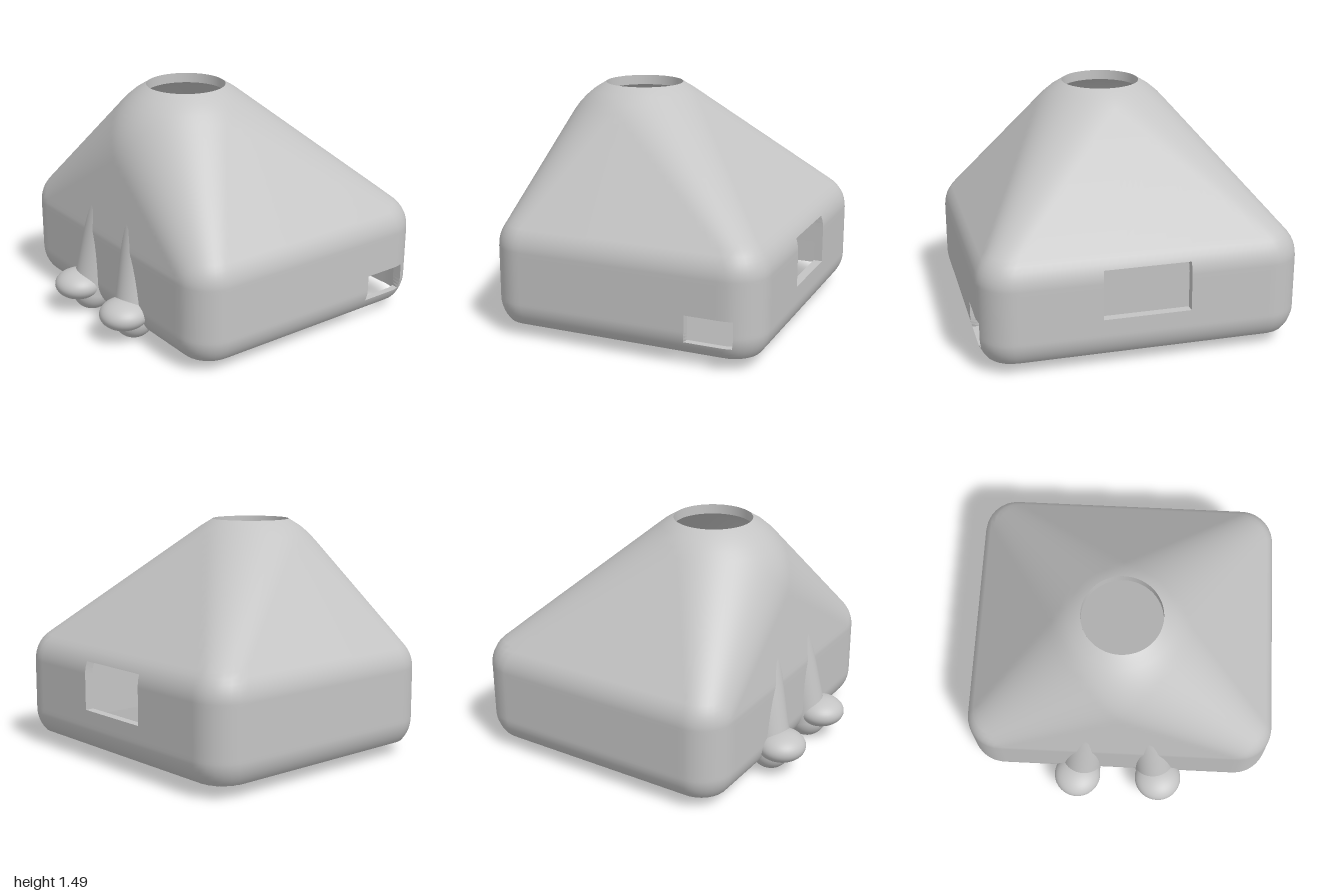
import * as THREE from 'three';

const WALL = 0.055, AXIS_Z = 0.16, BORE = 0.25;
const lerp = (a, b, t) => a + (b - a) * t;

// Rounded box that blends (k = 0..1) into the large ball at the peak
function blendDistance(x, y, z, k) {
  const qx = Math.abs(x) - 0.78 * (1 - k);
  const qy = Math.abs(y - lerp(0.395, 1.0, k)) - 0.165 * (1 - k);
  const qz = Math.abs(z - lerp(-0.105, AXIS_Z, k)) - 0.665 * (1 - k);
  const out = Math.hypot(Math.max(qx, 0), Math.max(qy, 0), Math.max(qz, 0));
  return out + Math.min(Math.max(qx, qy, qz), 0) - lerp(0.22, 0.55, k);
}

// Distance to the housing: the smallest blend distance
function distance(x, y, z) {
  let lo = 0, hi = 1;
  for (let i = 0; i < 20; i++) {
    const a = lerp(lo, hi, 0.4), b = lerp(lo, hi, 0.6);
    if (blendDistance(x, y, z, a) < blendDistance(x, y, z, b)) hi = b; else lo = a;
  }
  return Math.min(blendDistance(x, y, z, (lo + hi) / 2), blendDistance(x, y, z, 0), blendDistance(x, y, z, 1));
}

// Evenly subdivides the spans between break values
function spread(breaks, counts) {
  const list = [];
  counts.forEach((n, s) => {
    for (let i = 0; i < n; i++) list.push(lerp(breaks[s], breaks[s + 1], i / n));
  });
  return list;
}

const COLS = [10, 20, 6, 156], ROWS = [5, 8, 12, 12, 10];
const colStart = [0, 10, 30, 36], rowStart = [0, 5, 13, 25];
// Openings as grid ranges [col from, col to, row from, row to]
const WINDOWS = {
  backWindow: [colStart[0], colStart[1], rowStart[2], rowStart[3]],
  sideWindow: [colStart[2], colStart[3], rowStart[1], rowStart[2]],
};

// One skin of the housing; t is its depth below the outer surface
function makeSkin(t) {
  const back = -0.985 + t - AXIS_Z, inner = t > 0;
  const a0 = Math.atan2(back, -0.27);
  const angles = spread([a0, Math.atan2(back, 0.27), Math.atan2(-0.84 - AXIS_Z, 0.988 - t),
    Math.atan2(-0.54 - AXIS_Z, 1 - t), a0 + Math.PI * 2], COLS);
  const top = 1 + Math.sqrt((0.55 - t) ** 2 - BORE ** 2);
  const heights = [...spread([0.085, 0.16, 0.33, 0.64, 1.0, top], ROWS), top];
  const n = angles.length, pos = [], nor = [], index = [];
  for (const y of heights) {
    // The inside runs straight down to a thin lower edge
    const sy = inner ? Math.max(y, 0.23) : y;
    for (const a of angles) {
      const c = Math.cos(a), s = Math.sin(a);
      let lo = 0, hi = 2;
      for (let i = 0; i < 20; i++) {
        const m = (lo + hi) / 2;
        if (distance(m * c, sy, AXIS_Z + m * s) + t < 0) lo = m; else hi = m;
      }
      const x = lo * c, z = AXIS_Z + lo * s, e = 0.002;
      pos.push(x, y, z);
      const g = new THREE.Vector3(
        distance(x + e, sy, z) - distance(x - e, sy, z),
        distance(x, sy + e, z) - distance(x, sy - e, z),
        distance(x, sy, z + e) - distance(x, sy, z - e)).normalize();
      if (inner) g.negate();
      nor.push(g.x, g.y, g.z);
    }
  }
  const inWindow = (i, j) => Object.values(WINDOWS).some(
    ([c0, c1, r0, r1]) => j >= c0 && j < c1 && i >= r0 && i < r1);
  for (let i = 0; i < heights.length - 1; i++) {
    for (let j = 0; j < n; j++) {
      if (inWindow(i, j)) continue;
      const a = i * n + j, b = i * n + (j + 1) % n, c = a + n, d = b + n;
      if (inner) index.push(a, b, c, b, d, c);
      else index.push(a, c, b, b, c, d);
    }
  }
  const geometry = new THREE.BufferGeometry();
  geometry.setAttribute('position', new THREE.Float32BufferAttribute(pos, 3));
  geometry.setAttribute('normal', new THREE.Float32BufferAttribute(nor, 3));
  geometry.setIndex(index);
  const point = (i, j) => pos.slice((i * n + j) * 3, (i * n + j) * 3 + 3);
  return { geometry, point };
}

// Reveal around a window, joining the two skins
function makeReveal([c0, c1, r0, r1], outer, inner) {
  const loop = [];
  for (let j = c0; j < c1; j++) loop.push([r0, j]);
  for (let i = r0; i < r1; i++) loop.push([i, c1]);
  for (let j = c1; j > c0; j--) loop.push([r1, j]);
  for (let i = r1; i > r0; i--) loop.push([i, c0]);
  const pos = [];
  loop.forEach((p, k) => {
    const q = loop[(k + 1) % loop.length];
    const a = outer.point(...p), b = outer.point(...q), c = inner.point(...p), d = inner.point(...q);
    pos.push(...a, ...b, ...c, ...b, ...d, ...c);
  });
  const geometry = new THREE.BufferGeometry();
  geometry.setAttribute('position', new THREE.Float32BufferAttribute(pos, 3));
  geometry.computeVertexNormals();
  return geometry;
}

export function createModel() {
  const model = new THREE.Group();
  model.name = 'housing';
  const grey = new THREE.MeshStandardMaterial({ color: 0xc4c4c4, side: THREE.DoubleSide });
  grey.name = 'grey';
  const add = (name, geometry) => {
    const mesh = new THREE.Mesh(geometry, grey);
    mesh.name = name;
    model.add(mesh);
    return mesh;
  };

  // Hollow housing with two windows
  const outer = makeSkin(0), inner = makeSkin(WALL);
  add('outerShell', outer.geometry);
  add('innerShell', inner.geometry);
  for (const [name, range] of Object.entries(WINDOWS)) add(name + 'Reveal', makeReveal(range, outer, inner));

  // Round opening at the peak
  const yOut = 1 + Math.sqrt(0.55 ** 2 - BORE ** 2), yIn = 1 + Math.sqrt((0.55 - WALL) ** 2 - BORE ** 2);
  add('topBore', new THREE.CylinderGeometry(BORE, BORE, yOut - yIn, 96, 1, true))
    .position.set(0, (yOut + yIn) / 2, AXIS_Z);

  for (const [side, s] of [['left', 1], ['right', -1]]) {
    // Leaning leg that breaks through the front wall
    const foot = new THREE.Vector3(0.25 * s, 0.132, 0.75), head = new THREE.Vector3(0.19 * s, 0.92, 0.585);
    const axis = head.clone().sub(foot);
    const leg = add(side + 'Leg', new THREE.CapsuleGeometry(0.13, axis.length(), 16, 40));
    leg.position.copy(foot).lerp(head, 0.5);
    leg.quaternion.setFromUnitVectors(new THREE.Vector3(0, 1, 0), axis.normalize());

    // Flattened front foot
    const toe = add(side + 'Foot', new THREE.SphereGeometry(1, 40, 24));
    toe.scale.set(0.155, 0.095, 0.155);
    toe.position.set(0.273 * s, 0.19, 0.835);

    // Oval pad under the side of the housing
    const pad = add(side + 'Pad', new THREE.SphereGeometry(1, 40, 24));
    pad.scale.set(0.14, 0.11, 0.2);
    pad.position.set(0.76 * s, 0.18, 0.065);
  }
  return model;
}
